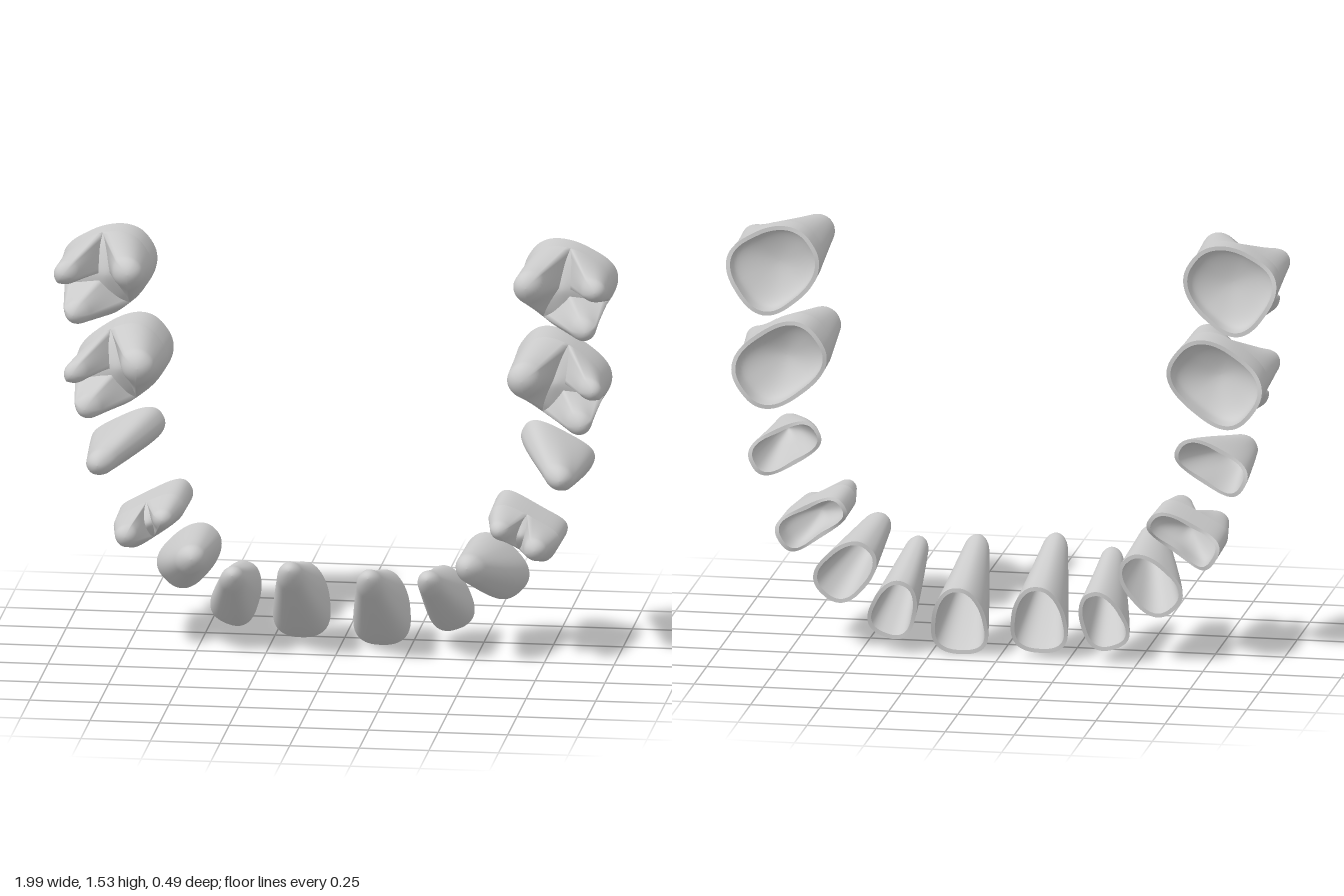
import * as THREE from 'three';
import { mergeGeometries } from 'three/addons/utils/BufferGeometryUtils.js';

const SEG = 60, WALL = 0.015, NECK = -0.03, CROTCH = 0.035;
const lerp = THREE.MathUtils.lerp;

// One half of the arch. at: rim centre, turn: angle along the arch, size: half width and half depth,
// narrow: narrowing towards the inner side, waist: pinch of the sides, rim: z and its slope in y,
// scallop: forward dip of the rim's sides, roots: tip x, y, z, radius, shift: offset of the opposite tooth.
const TEETH = [
  { name: 'centralIncisor', at: [0.142, 0.132], turn: 0, size: [0.1, 0.13], narrow: 0.25, rim: [-0.2, -0.27],
    roots: [[0.14, 0.338, 0.185, 0.038]], shift: [0.004, 0.018] },
  { name: 'lateralIncisor', at: [0.374, 0.17], turn: 0.35, size: [0.082, 0.115], narrow: 0.2, rim: [-0.22, -0.22],
    roots: [[0.347, 0.33, 0.15, 0.036]], shift: [0.006, -0.008] },
  { name: 'canine', at: [0.549, 0.3], turn: 0.75, size: [0.09, 0.128], narrow: 0.12, rim: [-0.21, -0.13],
    roots: [[0.495, 0.387, 0.185, 0.045]] },
  { name: 'firstPremolar', at: [0.67, 0.474], turn: 1.02, size: [0.086, 0.14], narrow: 0.18, waist: 0.25, rim: [-0.23, -0.08],
    scallop: 0.035, roots: [[0.605, 0.517, 0.15, 0.03], [0.735, 0.455, 0.165, 0.035]] },
  { name: 'secondPremolar', at: [0.77, 0.742], turn: 1.06, size: [0.084, 0.14], narrow: 0.1, waist: 0.15, rim: [-0.21, 0],
    scallop: 0.025, roots: [[0.83, 0.725, 0.2, 0.042]] },
  { name: 'firstMolar', at: [0.795, 1.04], turn: 0.93, size: [0.142, 0.176], narrow: 0.06, waist: 0.06, rim: [-0.185, 0.02],
    scallop: 0.025, roots: [[0.7, 1.1, 0.25, 0.055], [0.945, 1.05, 0.18, 0.036], [0.9, 0.92, 0.165, 0.038]], shift: [-0.02, 0] },
  { name: 'secondMolar', at: [0.82, 1.385], turn: 0.98, size: [0.15, 0.165], narrow: 0.18, waist: 0.04, rim: [-0.15, 0.1],
    scallop: 0.02, roots: [[0.715, 1.445, 0.25, 0.05], [0.955, 1.42, 0.19, 0.038], [0.92, 1.27, 0.18, 0.036]] }
];

// Skin a list of closed rings
function loft(rings) {
  const n = rings[0].length, pos = [], index = [];
  rings.forEach(r => r.forEach(p => pos.push(p.x, p.y, p.z)));
  for (let i = 0; i < rings.length - 1; i++) {
    for (let j = 0; j < n; j++) {
      const k = (j + 1) % n, a = i * n + j, b = i * n + k, c = b + n, d = a + n;
      index.push(a, b, c, a, c, d);
    }
  }
  const g = new THREE.BufferGeometry();
  g.setAttribute('position', new THREE.Float32BufferAttribute(pos, 3));
  g.setIndex(index);
  return g;
}

const centreOf = ring => ring.reduce((s, p) => s.add(p), new THREE.Vector3()).divideScalar(ring.length);

// Rings that taper from a base ring to a rounded tip
function taper(base, [tx, ty, tz, tr], power, capStart, steps = 22) {
  const c = centreOf(base), rings = [];
  for (let i = 0; i <= steps; i++) {
    const t = Math.sin((i / steps) * Math.PI / 2), w = Math.pow(t, power);
    const u = Math.max(0, (t - capStart) / (1 - capStart));
    const cap = Math.sqrt(Math.max(0, 1 - u * u));
    const cx = lerp(c.x, tx, w), cy = lerp(c.y, ty, w);
    rings.push(base.map(p => {
      const dx = p.x - c.x, dy = p.y - c.y;
      const k = lerp(1, tr / Math.hypot(dx, dy), w) * cap;
      return new THREE.Vector3(cx + dx * k, cy + dy * k, lerp(p.z, tz, t));
    }));
  }
  return rings;
}

// Rim: a squarish oval, narrower inside and optionally waisted
function rimRing({ at, turn, size, narrow, waist = 0, rim, scallop = 0 }) {
  const soft = v => Math.sign(v) * Math.abs(v) ** 0.82;
  return Array.from({ length: SEG }, (_, i) => {
    const a = i / SEG * Math.PI * 2, cos = Math.cos(a), sin = Math.sin(a);
    const u = size[0] * soft(cos) * (1 - narrow * sin) * (1 - waist * cos * cos);
    const v = size[1] * soft(sin);
    const x = u * Math.cos(turn) - v * Math.sin(turn);
    const y = u * Math.sin(turn) + v * Math.cos(turn);
    return new THREE.Vector3(at[0] + x, at[1] + y, rim[0] + rim[1] * y + scallop * cos * cos);
  });
}

// Rim band and the hollow behind it
function hollow(outer, floor, power, cap) {
  const c = centreOf(outer);
  const inner = outer.map(p => new THREE.Vector3(c.x - p.x, c.y - p.y, 0).setLength(WALL).add(p));
  return [loft([inner, outer]), loft(taper(inner, floor, power, cap).reverse())];
}

// Tooth with one root: the body itself runs out to the tip
function singleRooted(tooth) {
  const outer = rimRing(tooth), c = centreOf(outer), [x, y, z, r] = tooth.roots[0];
  const floor = [lerp(c.x, x, 0.8), lerp(c.y, y, 0.8), lerp(c.z, z, 0.8), r * 0.65];
  return [loft(taper(outer, tooth.roots[0], 1.15, 0.87)), ...hollow(outer, floor, 1.15, 0.7)];
}

// Part of the neck nearest to one root, closed through the neck's centre
function sector(neck, roots, i) {
  const owner = neck.map(p => {
    const d = roots.map(([x, y]) => Math.hypot(p.x - x, p.y - y));
    return d.indexOf(Math.min(...d));
  });
  const ring = [], c = centreOf(neck);
  let j = neck.findIndex((_, k) => owner[k] === i && owner[(k + SEG - 1) % SEG] !== i);
  for (; owner[j] === i; j = (j + 1) % SEG) ring.push(neck[j]);
  ring.push(neck[j]);
  const first = ring[0], last = neck[j];
  for (let k = 1; k <= 8; k++) ring.push(last.clone().lerp(c, k / 8));
  for (let k = 1; k < 8; k++) ring.push(c.clone().lerp(first, k / 8));
  return ring;
}

// Tooth with several roots: a straight cup, a blunt crotch and one root per sector of the neck
function multiRooted(tooth) {
  const outer = rimRing(tooth), c = centreOf(outer), r = tooth.size[0];
  const neck = outer.map(p => new THREE.Vector3(lerp(c.x, p.x, 0.97), lerp(c.y, p.y, 0.97), NECK));
  const middle = outer.map((p, i) => p.clone().lerp(neck[i], 0.5));
  return [
    loft([outer, middle, neck]),
    ...hollow(outer, [c.x, c.y, NECK - 0.005, r * 0.6], 3, 0.4),
    loft(taper(neck, [c.x, c.y, CROTCH, r * 0.35], 1, 0.3)),
    ...tooth.roots.map((tip, i) => loft(taper(sector(neck, tooth.roots, i), tip, 1, 0.82)))
  ];
}

// Flip to the other half of the arch, keeping faces outward
function mirror(g, [dx, dy]) {
  g.translate(dx, dy, 0).scale(-1, 1, 1);
  const ix = g.index;
  for (let i = 0; i < ix.count; i += 3) {
    const b = ix.getX(i + 1);
    ix.setX(i + 1, ix.getX(i + 2));
    ix.setX(i + 2, b);
  }
}

export function createModel() {
  const model = new THREE.Group();
  model.name = 'toothRootArch';
  const material = new THREE.MeshStandardMaterial({ color: 0xcccccc, side: THREE.DoubleSide });
  for (const side of ['left', 'right']) {
    for (const tooth of TEETH) {
      const parts = tooth.roots.length > 1 ? multiRooted(tooth) : singleRooted(tooth);
      const geometry = mergeGeometries(parts);
      if (side === 'right') mirror(geometry, tooth.shift || [0, 0]);
      geometry.computeVertexNormals();
      const mesh = new THREE.Mesh(geometry, material);
      mesh.name = `${side} ${tooth.name}`;
      model.add(mesh);
    }
  }
  return model;
}
